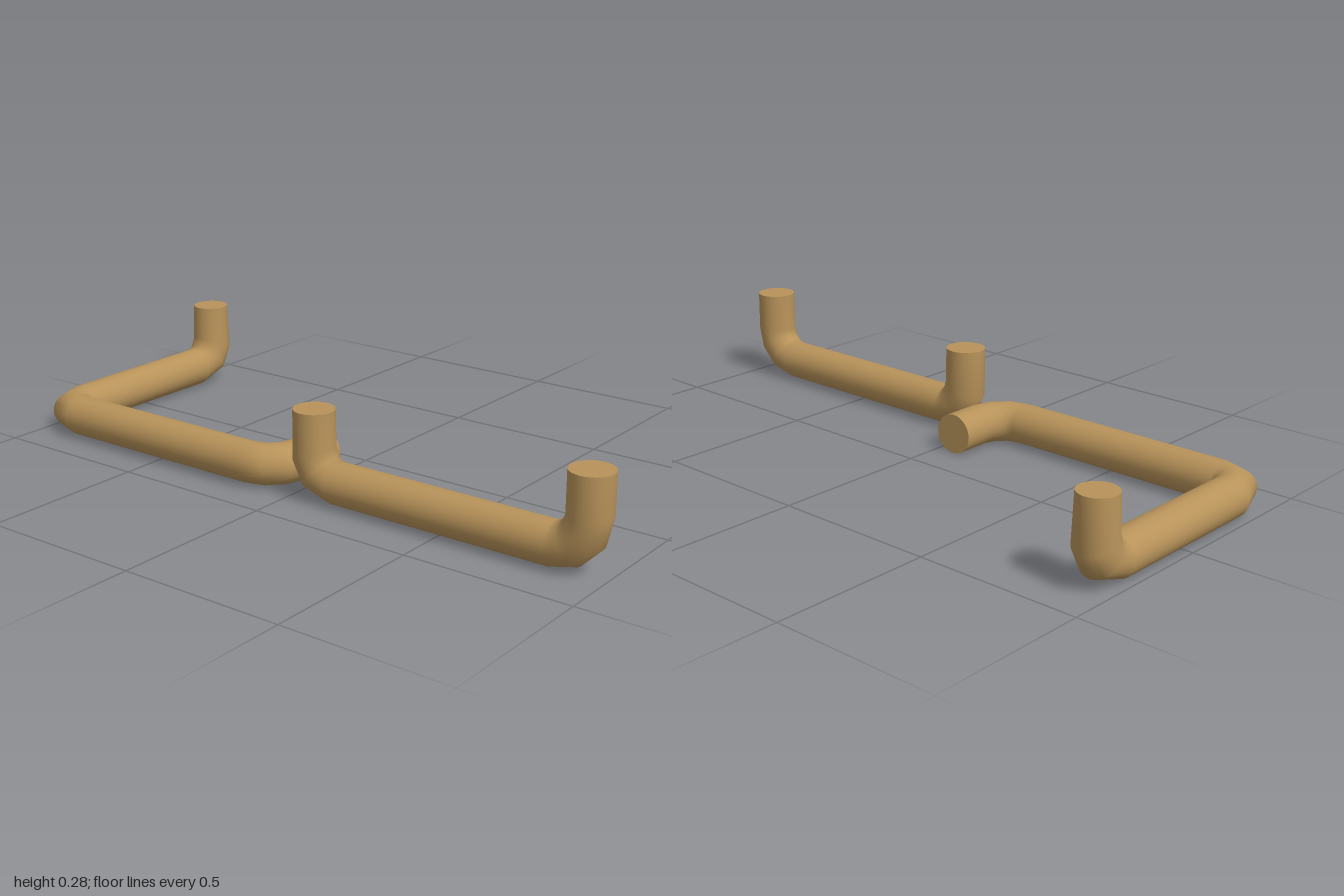
import * as THREE from 'three';

const SIDES = 28;
const V = (x, y, z) => new THREE.Vector3(x, y, z);

// Sweeps a round pipe along straight runs joined by faceted bends.
// bends[i] rounds corner i + 1: run-in and run-out lengths, segments, tilt of the last ring.
function pipeGeometry(corners, bends, radius, endRadius = radius) {
  const rings = [];
  const dirs = corners.slice(1).map((c, i) => c.clone().sub(corners[i]).normalize());
  let u = Math.abs(dirs[0].y) > 0.9 ? V(1, 0, 0) : V(0, 1, 0);
  let v = dirs[0].clone().cross(u);

  const addRing = (centre, a, b, r, across, stretch = 1) => {
    const ring = [];
    for (let j = 0; j < SIDES; j++) {
      const t = (j / SIDES) * Math.PI * 2;
      const p = a.clone().multiplyScalar(r * Math.cos(t)).addScaledVector(b, r * Math.sin(t));
      if (across) p.addScaledVector(across, p.dot(across) * (stretch - 1));
      ring.push(p.add(centre));
    }
    rings.push(ring);
  };

  addRing(corners[0], u, v, radius);
  bends.forEach(({ runIn, runOut, segments, tilt = 0 }, i) => {
    const dIn = dirs[i], dOut = dirs[i + 1];
    const axis = dIn.clone().cross(dOut).normalize();
    for (let k = 0; k <= segments; k++) {
      const t = (k / segments) * Math.PI / 2;
      const centre = corners[i + 1].clone()
        .addScaledVector(dIn, -runIn * (1 - Math.sin(t)))
        .addScaledVector(dOut, runOut * (1 - Math.cos(t)));
      const turn = k === segments ? t - tilt : t;
      const inner = k > 0 && k < segments;
      const stretch = inner ? 1 / Math.cos(Math.PI / 4 / segments) : 1 / Math.cos(t - turn);
      const a = u.clone().applyAxisAngle(axis, turn);
      const b = v.clone().applyAxisAngle(axis, turn);
      const across = dOut.clone().applyAxisAngle(axis, turn);
      addRing(centre, a, b, radius, across, stretch);
    }
    u = u.clone().applyAxisAngle(axis, Math.PI / 2);
    v = v.clone().applyAxisAngle(axis, Math.PI / 2);
  });
  addRing(corners[corners.length - 1], u, v, endRadius);

  // Wall
  const positions = rings.flat().flatMap((p) => p.toArray());
  const index = [];
  for (let i = 0; i < rings.length - 1; i++) {
    for (let j = 0; j < SIDES; j++) {
      const k = (j + 1) % SIDES, a = i * SIDES, b = a + SIDES;
      index.push(a + j, a + k, b + j, a + k, b + k, b + j);
    }
  }
  // Flat ends with their own vertices, so that their edges stay sharp
  [rings[0], rings[rings.length - 1]].forEach((ring, end) => {
    const start = positions.length / 3;
    ring.forEach((p) => positions.push(p.x, p.y, p.z));
    for (let j = 1; j < SIDES - 1; j++) {
      if (end) index.push(start, start + j, start + j + 1);
      else index.push(start, start + j + 1, start + j);
    }
  });

  const geometry = new THREE.BufferGeometry();
  geometry.setAttribute('position', new THREE.Float32BufferAttribute(positions, 3));
  geometry.setIndex(index);
  geometry.computeVertexNormals();
  return geometry;
}

export function createModel() {
  const group = new THREE.Group();
  const material = new THREE.MeshStandardMaterial({ color: 0xb8935a });
  const add = (name, geometry) => {
    const mesh = new THREE.Mesh(geometry, material);
    mesh.name = name;
    group.add(mesh);
  };
  const y = 0.0625;

  // Straight pipe with both ends turned up
  add('frontPipe', pipeGeometry(
    [V(-0.323, 0.285, 0.939), V(-0.323, y, 0.939), V(-0.323, y, 0.065), V(-0.323, 0.265, 0.065)],
    [
      { runIn: 0.1, runOut: 0.1, segments: 3 },
      { runIn: 0.077, runOut: 0.07, segments: 2, tilt: 0.38 },
    ], 0.0615, 0.0605));

  // Hooked pipe lying flat, with its far end turned up
  add('backPipe', pipeGeometry(
    [V(-0.123, y, -0.062), V(-0.342, y, -0.062), V(-0.342, y, -0.939), V(0.348, y, -0.939), V(0.348, 0.265, -0.939)],
    [
      { runIn: 0.1, runOut: 0.1, segments: 3 },
      { runIn: 0.075, runOut: 0.075, segments: 2 },
      { runIn: 0.086, runOut: 0.07, segments: 2, tilt: 0.38 },
    ], 0.0615, 0.057));

  return group;
}
